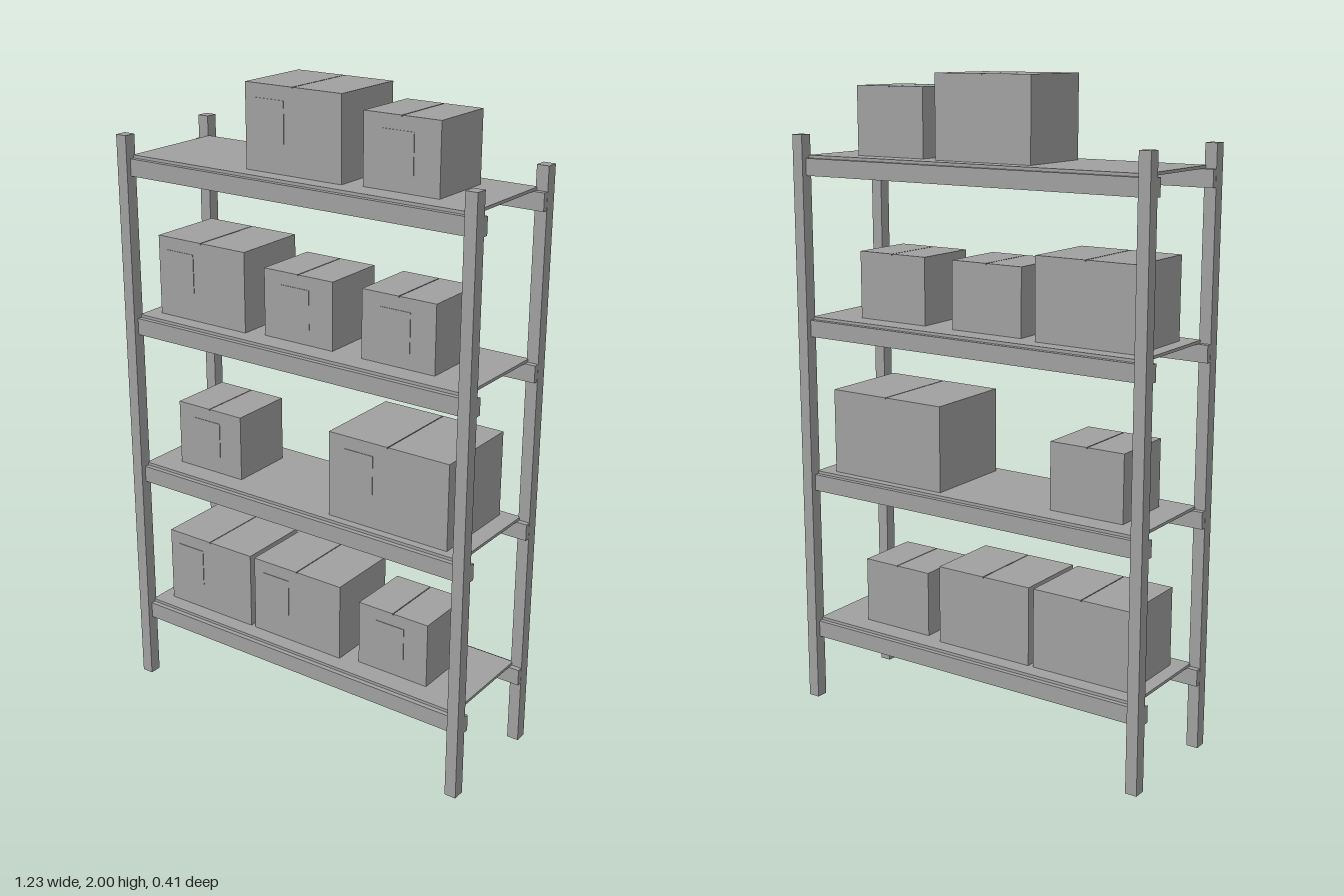
import * as THREE from 'three';

export function createModel() {
  const model = new THREE.Group();
  model.name = 'storageRack';
  const grey = new THREE.MeshStandardMaterial({ color: 0xa0a0a0 });
  grey.name = 'plain grey';

  // Box given by its min and max corners
  function block(parent, name, x0, x1, y0, y1, z0, z1) {
    const mesh = new THREE.Mesh(new THREE.BoxGeometry(x1 - x0, y1 - y0, z1 - z0), grey);
    mesh.position.set((x0 + x1) / 2, (y0 + y1) / 2, (z0 + z1) / 2);
    mesh.name = name;
    parent.add(mesh);
  }

  // Corner posts
  for (const sx of [-1, 1]) {
    for (const sz of [-1, 1]) {
      const x = sx * 0.597, z = sz * 0.186;
      block(model, 'post', x - 0.0185, x + 0.0185, 0, 1.815, z - 0.019, z + 0.019);
    }
  }

  // Carton: body, two top flaps with a narrow seam, front label
  function carton(parent, x, y, w, h, d, labelX) {
    const box = new THREE.Group();
    box.name = 'carton';
    box.position.set(x, y, 0);
    const flap = 0.004, seam = 0.0015;
    block(box, 'cartonBody', -w / 2, w / 2, 0, h - flap, -d / 2, d / 2);
    block(box, 'leftFlap', seam, w / 2, h - flap, h, -d / 2, d / 2);
    block(box, 'rightFlap', -w / 2, -seam, h - flap, h, -d / 2, d / 2);
    block(box, 'label', labelX - 0.05, labelX + 0.05, h - 0.16, h - 0.04, d / 2, d / 2 + 0.002);
    parent.add(box);
  }
  const sizes = {
    small: [0.245, 0.207, 0.21, -0.01],
    medium: [0.33, 0.247, 0.248, -0.08],
    large: [0.41, 0.267, 0.296, -0.1],
  };

  // Shelf levels: top height and the cartons standing on each
  const levels = [
    [0.268, [['medium', -0.373], ['medium', -0.026], ['small', 0.32]]],
    [0.762, [['small', -0.374], ['large', 0.32]]],
    [1.258, [['medium', -0.373], ['small', -0.026], ['small', 0.32]]],
    [1.753, [['medium', -0.026], ['small', 0.32]]],
  ];
  for (const [top, cartons] of levels) {
    const level = new THREE.Group();
    level.name = 'shelfLevel';
    block(level, 'shelfBoard', -0.582, 0.582, top - 0.009, top, -0.174, 0.174);
    // Stepped beams: outer rail between the posts, inner rail lapping behind them
    for (const s of [-1, 1]) {
      const span = (a, b) => (s > 0 ? [a, b] : [-b, -a]);
      block(level, 'outerRail', -0.579, 0.579, top - 0.061, top - 0.009, ...span(0.167, 0.189));
      block(level, 'innerRail', -0.615, 0.615, top - 0.061, top - 0.009, ...span(0.15, 0.167));
    }
    for (const [kind, x] of cartons) {
      const [w, h, d, labelX] = sizes[kind];
      carton(level, x, top, w, h, d, labelX);
    }
    model.add(level);
  }
  return model;
}
